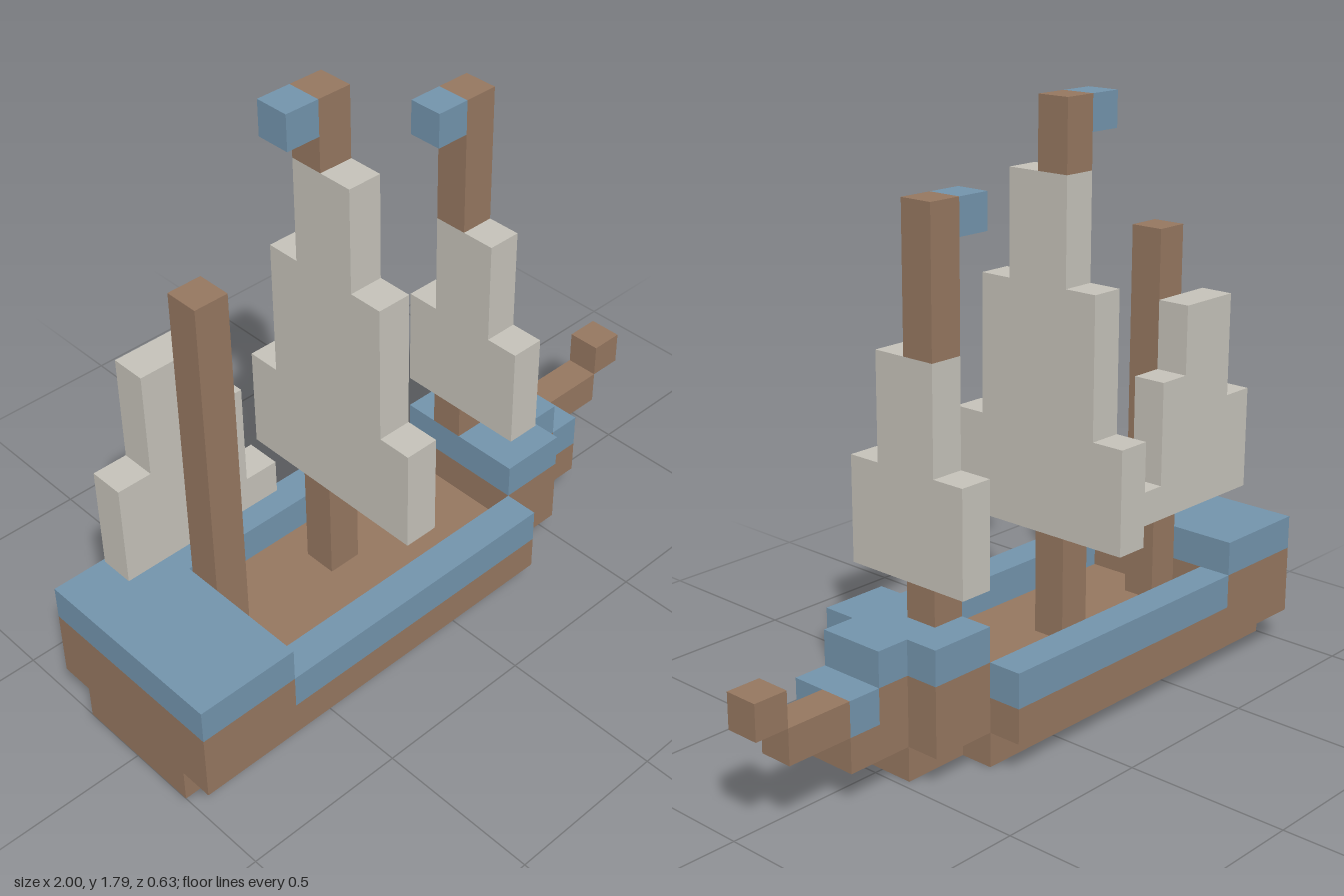
import * as THREE from 'three';
import { mergeGeometries } from 'three/addons/utils/BufferGeometryUtils.js';

// Block size: the ship is 19 blocks long
const U = 2 / 19;

const mat = (name, color) => {
  const m = new THREE.MeshStandardMaterial({ color, side: THREE.DoubleSide });
  m.name = name;
  return m;
};

// Blocks of a box: x from the stern, y from the keel, z from the middle line
function box(x0, x1, y0, y1, z0, z1) {
  const out = [];
  for (let x = x0; x < x1; x++)
    for (let y = y0; y < y1; y++)
      for (let z = z0; z < z1; z++) out.push(new THREE.Vector3(x, y, z));
  return out;
}

// Box centred across the ship, w blocks to each side
const wide = (x0, x1, y0, y1, w) => box(x0, x1, y0, y1, -w, w);
// One-block-thick upright piece in the mast row
const spar = (x, y0, y1) => box(x, x + 1, y0, y1, -1, 0);

// Square sail: tiers of [top, half width] stacked upwards
function squareSail(x, foot, tiers) {
  return tiers.flatMap(([top, w], i) => wide(x, x + 1, i ? tiers[i - 1][0] : foot, top, w));
}

// Hull layer stepping in towards the bow: steps of [end, half width]
function hullLayer(y, steps) {
  return steps.flatMap(([end, w], i) => wide(i ? steps[i - 1][0] : 0, end, y, y + 1, w));
}

// Unit face turned towards each of the six directions
const forward = new THREE.Vector3(0, 0, 1);
const faces = ['x', 'y', 'z'].flatMap((axis) => [1, -1].map((sign) => {
  const dir = new THREE.Vector3();
  dir[axis] = sign;
  const turn = new THREE.Quaternion().setFromUnitVectors(forward, dir);
  return { dir, turn };
}));

const key = (v) => `${v.x},${v.y},${v.z}`;

// Outer skin of a part: faces touching another block are left out,
// and the hull stays open underneath
function skin(cells, filled) {
  const quads = [];
  for (const cell of cells) {
    for (const { dir, turn } of faces) {
      const next = cell.clone().add(dir);
      if (next.y < 0 || filled.has(key(next))) continue;
      const quad = new THREE.PlaneGeometry(1, 1).applyQuaternion(turn);
      const c = cell.clone().addScalar(0.5).addScaledVector(dir, 0.5);
      quads.push(quad.translate(c.x, c.y, c.z).scale(U, U, U).translate(-1, 0, 0));
    }
  }
  return mergeGeometries(quads);
}

export function createModel() {
  const wood = mat('wood', 0x94765f);
  const paint = mat('bluePaint', 0x7293ab);
  const canvas = mat('canvas', 0xc4c1b8);

  const parts = [];
  const add = (name, material, ...cells) => parts.push({ name, material, cells: cells.flat() });

  // Hull
  add('keel', wood, hullLayer(0, [[12, 2], [14, 1]]));
  add('deck', wood, hullLayer(1, [[12, 3], [14, 2], [16, 1]]));
  add('sternCabin', wood, wide(0, 3, 2, 3, 3));
  add('forecastle', wood, wide(12, 14, 2, 3, 2), wide(14, 15, 2, 3, 1));

  // Blue upper works
  for (const [name, z] of [['leftBulwark', 2], ['rightBulwark', -3]])
    add(name, paint, box(3, 12, 2, 3, z, z + 1));
  add('sternDeck', paint, wide(0, 3, 3, 4, 3));
  add('foreDeck', paint, wide(12, 14, 3, 4, 2), wide(14, 15, 3, 4, 1));
  add('bowTrim', paint, wide(15, 16, 2, 3, 1));

  // Bowsprit with raised tip
  add('bowsprit', wood, spar(16, 2, 3), spar(17, 2, 3), spar(18, 3, 4));

  // Masts, broken where the square sails wrap them
  add('mizzenMast', wood, spar(3, 2, 13));
  add('mainMast', wood, spar(7, 2, 5), spar(7, 15, 17));
  add('foreMast', wood, spar(12, 4, 5), spar(12, 11, 15));

  // Sails: the mizzen runs along the ship, one column for each height
  add('mizzenSail', canvas,
    [8, 11, 11, 9, 6].flatMap((top, i) => box(i + 1, i + 2, 5, top, -2, -1)));
  add('mainSail', canvas, squareSail(7, 5, [[8, 3], [12, 2], [15, 1]]));
  add('foreSail', canvas, squareSail(12, 5, [[8, 2], [11, 1]]));

  // Flags at the mastheads
  add('mainFlag', paint, spar(6, 16, 17));
  add('foreFlag', paint, spar(11, 14, 15));

  const filled = new Set(parts.flatMap(({ cells }) => cells.map(key)));
  const ship = new THREE.Group();
  ship.name = 'sailingShip';
  for (const { name, material, cells } of parts) {
    const mesh = new THREE.Mesh(skin(cells, filled), material);
    mesh.name = name;
    ship.add(mesh);
  }
  return ship;
}
